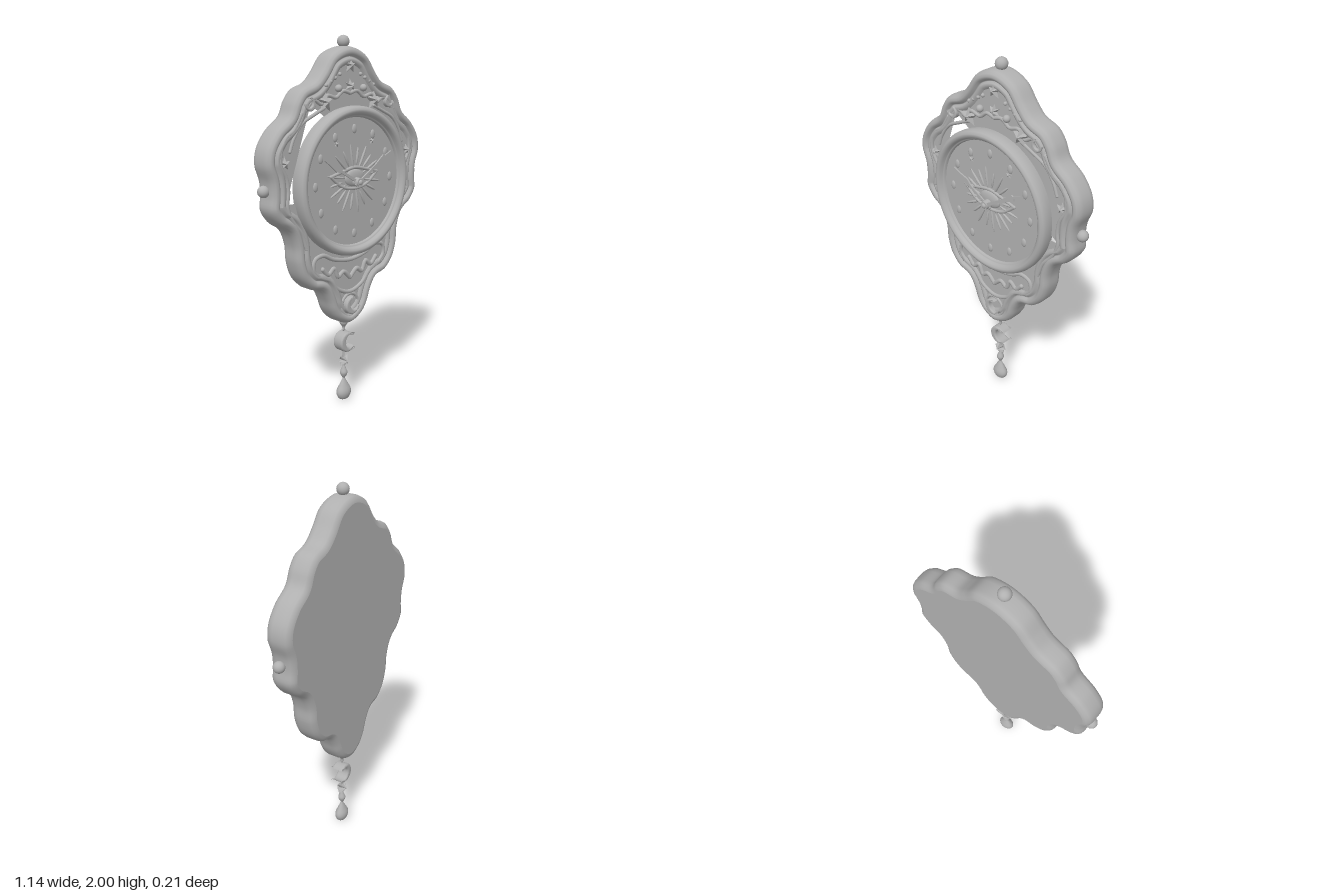
import * as THREE from 'three';

export function createModel() {
  const root = new THREE.Group();
  const mat = new THREE.MeshStandardMaterial({ color: 0xb0b0b0 });
  mat.name = 'plaster grey';
  const PANEL = 0.012, FACE = 0.045, CY = 1.255, MID = -0.035;

  const add = (name, geo, x = 0, y = 0, z = 0) => {
    const m = new THREE.Mesh(geo, mat);
    m.name = name;
    m.position.set(x, y, z);
    root.add(m);
    return m;
  };
  const dome = (name, x, y, z, rx, ry = rx, rz = rx) =>
    add(name, new THREE.SphereGeometry(1, 24, 16).scale(rx, ry, rz), x, y, z);
  // Raised moulding along a path, with rounded ends
  const moulding = (name, pts, r, z, closed = false) => {
    const path = new THREE.CatmullRomCurve3(pts.map(([x, y]) => new THREE.Vector3(x, y, z)), closed);
    add(name, new THREE.TubeGeometry(path, pts.length * 8, r, 10, closed));
    if (!closed) for (const p of [pts[0], pts.at(-1)]) dome(name + 'End', p[0], p[1], z, r);
  };
  const flip = (pts) => pts.map(([x, y]) => [-x, y]);
  // Low pyramid star
  const starGeo = (r, n, h) => {
    const g = new THREE.ConeGeometry(r, h, n * 2, 1, true).rotateX(Math.PI / 2);
    const p = g.attributes.position;
    for (let i = 0; i < p.count; i++) {
      const k = Math.round(Math.atan2(p.getX(i), p.getY(i)) / (Math.PI / n));
      if (Math.abs(k) % 2) p.setXY(i, p.getX(i) * 0.42, p.getY(i) * 0.42);
    }
    const flat = g.toNonIndexed();
    flat.computeVertexNormals();
    return flat;
  };
  // Crescent with its mouth towards +x
  const crescentGeo = (r, depth, bevel) => {
    const s = new THREE.Shape(), a = 0.65, cx = r * 0.38;
    const tx = r * Math.cos(a), ty = r * Math.sin(a);
    const ri = Math.hypot(tx - cx, ty), ai = Math.atan2(ty, tx - cx);
    s.absarc(0, 0, r, a, Math.PI * 2 - a, false);
    s.absarc(cx, 0, ri, -ai, ai, true);
    return new THREE.ExtrudeGeometry(s, { depth, bevelEnabled: bevel > 0, bevelSize: bevel,
      bevelThickness: bevel, bevelOffset: -bevel, bevelSegments: 3, curveSegments: 32 }).translate(0, 0, -depth / 2);
  };

  // Scalloped case outline, bottom to top, mirrored
  const half = [[0.09, 0.505], [0.135, 0.565], [0.16, 0.63], [0.2, 0.69], [0.275, 0.715], [0.34, 0.78],
    [0.372, 0.87], [0.38, 0.96], [0.415, 1.04], [0.485, 1.09], [0.53, 1.16], [0.525, 1.23], [0.53, 1.3],
    [0.556, 1.38], [0.545, 1.46], [0.487, 1.545], [0.405, 1.61], [0.372, 1.68], [0.325, 1.735],
    [0.24, 1.77], [0.19, 1.82], [0.12, 1.905]];
  const outline = new THREE.CatmullRomCurve3([[0, 0.466], ...half, [0, 1.945], ...flip(half).reverse()]
    .map(([x, y]) => new THREE.Vector3(x, y, 0)), true);
  const N = 240;
  const inset = (d) => Array.from({ length: N }, (_, j) => {
    const p = outline.getPointAt(j / N), t = outline.getTangentAt(j / N);
    return new THREE.Vector2(p.x - t.y * d, p.y + t.x * d);
  });

  // Case wall and rolled rim: [inset, z] from back to front
  const section = [[0.035, -0.105], [0.018, -0.1], [0.005, -0.086], [0, -0.066], [0, -0.012], [0.005, 0.01],
    [0.016, 0.025], [0.03, 0.03], [0.042, 0.025], [0.05, 0.012], [0.055, 0.01], [0.062, 0.021],
    [0.072, 0.024], [0.082, 0.019], [0.09, PANEL]];
  const pos = [], idx = [];
  section.forEach(([d, z], i) => {
    inset(d).forEach((p, j) => {
      pos.push(p.x, p.y, z);
      if (i === section.length - 1) return;
      const a = i * N + j, b = i * N + (j + 1) % N;
      idx.push(a, b, b + N, a, b + N, a + N);
    });
  });
  const wall = new THREE.BufferGeometry();
  wall.setAttribute('position', new THREE.Float32BufferAttribute(pos, 3));
  wall.setIndex(idx);
  wall.computeVertexNormals();
  add('caseRim', wall);
  add('frontPanel', new THREE.ShapeGeometry(new THREE.Shape(inset(0.09))), 0, 0, PANEL);
  add('backPanel', new THREE.ShapeGeometry(new THREE.Shape(inset(0.035))).rotateY(Math.PI), 0, 0, -0.105);

  // Bezel and dial
  const ring = [[0.386, 0], [0.392, 0.03], [0.392, 0.058], [0.386, 0.074], [0.374, 0.083], [0.362, 0.083],
    [0.351, 0.074], [0.347, 0.06], [0.342, 0.058], [0.337, 0.055], [0.334, FACE]];
  add('bezel', new THREE.LatheGeometry(ring.map((p) => new THREE.Vector2(...p)), 96).rotateX(Math.PI / 2), 0, CY);
  add('dial', new THREE.CircleGeometry(0.336, 96), 0, CY, FACE);
  for (let i = 0; i < 12; i++) {
    const a = i * Math.PI / 6;
    dome('hourMark', 0.275 * Math.sin(a), CY + 0.275 * Math.cos(a), FACE, 0.016, 0.024, 0.008);
  }
  for (const s of [-1, 1]) add('dialStar', starGeo(0.02, 5, 0.012), s * 0.13, 1.46, FACE + 0.005);

  // Eye relief with rays
  const eye = (h) => [[-0.17, 1.295], [-0.09, 1.275 + h * 0.7], [0, 1.275 + h], [0.09, 1.275 + h * 0.7], [0.17, 1.295]];
  moulding('upperLid', eye(0.055), 0.009, FACE);
  moulding('lowerLid', eye(-0.055), 0.009, FACE);
  dome('eyeball', 0, 1.275, FACE, 0.07, 0.045, 0.015);
  for (let i = 0; i < 20; i++) {
    const a = i * Math.PI / 10 + Math.PI / 20;
    const len = i % 2 ? 0.1 : 0.07, r = 0.12;
    const ray = dome('ray', r * Math.cos(a) * 1.1, 1.27 + r * Math.sin(a), FACE, len * 0.65, 0.007, 0.008);
    ray.rotation.z = a;
  }

  // Hands and hub
  const hand = (name, x, y, bulge, z) => {
    const dx = x, dy = y - CY, L = Math.hypot(dx, dy);
    const s = new THREE.Shape([[-0.03, -0.007], [L * 0.5, -0.007], [L * bulge, -0.017], [L * 0.82, -0.006], [L, 0],
      [L * 0.82, 0.006], [L * bulge, 0.017], [L * 0.5, 0.007], [-0.03, 0.007]].map((p) => new THREE.Vector2(...p)));
    add(name, new THREE.ExtrudeGeometry(s, { depth: 0.008, bevelEnabled: false }), 0, CY, z).rotation.z = Math.atan2(dy, dx);
  };
  hand('hourHand', -0.235, 1.385, 0.62, 0.068);
  hand('minuteHand', 0.24, 1.4, 0.8, 0.078);
  add('hub', new THREE.CylinderGeometry(0.022, 0.026, 0.048, 24).rotateX(Math.PI / 2), 0, CY, 0.068);
  dome('hubCap', 0, CY, 0.091, 0.014, 0.014, 0.01);

  // Mirrored panel ornament
  const side = [[0.33, 1.62], [0.385, 1.54], [0.43, 1.51], [0.465, 1.45], [0.47, 1.38], [0.435, 1.31],
    [0.425, 1.25], [0.43, 1.17], [0.395, 1.09], [0.34, 1.02], [0.31, 0.94]];
  const scroll = [[0.41, 1.44], [0.385, 1.5], [0.33, 1.57], [0.25, 1.61], [0.18, 1.64]];
  const crest = [[0.31, 1.63], [0.25, 1.68], [0.2, 1.66], [0.16, 1.7], [0.1, 1.69], [0.05, 1.72], [0, 1.71]];
  const cloud = [[0.2, 0.81], [0.16, 0.775], [0.12, 0.8], [0.09, 0.75], [0.05, 0.77], [0, 0.73]];
  for (const s of [1, -1]) {
    const m = (pts) => (s > 0 ? pts : flip(pts));
    moulding('sideMoulding', m(side), 0.011, PANEL);
    moulding('scroll', m(scroll), 0.009, PANEL);
    moulding('crestSwirl', m(crest), 0.01, PANEL);
    moulding('cloud', m(cloud), 0.013, PANEL);
    add('sideStar', starGeo(0.04, 5, 0.025), s * 0.445, 1.385, PANEL + 0.01);
    add('crestStar', starGeo(0.065, 5, 0.035), s * 0.175, 1.67, PANEL + 0.014);
    add('crestMoon', crescentGeo(0.032, 0.02, 0.006), s * 0.285, 1.66, PANEL + 0.005).rotation.z = s > 0 ? 0.8 : 2.3;
    dome('bead', s * 0.09, 1.735, PANEL + 0.01, 0.019);
    for (let i = 0; i < 4; i++) dome('smallBead', s * (0.075 + i * 0.032), 1.805 - i * 0.018, PANEL + 0.004, 0.01);
    dome('sideKnob', s * 0.54, CY, MID, 0.03);
  }
  add('topStar', starGeo(0.055, 5, 0.03), 0, 1.85, PANEL + 0.01);
  add('middleStar', starGeo(0.045, 6, 0.03), 0, 1.745, PANEL + 0.01);

  // Lower cartouche and moon medallion
  const cart = [[0.12, 0.85], [0.2, 0.885], [0.255, 0.87], [0.265, 0.82], [0.225, 0.775], [0.15, 0.74], [0.09, 0.68]];
  moulding('cartouche', [[0, 0.83], ...cart, [0, 0.65], ...flip(cart).reverse()], 0.012, PANEL, true);
  add('medallionRing', new THREE.TorusGeometry(0.062, 0.009, 10, 48), 0, 0.575, PANEL);
  add('medallionMoon', crescentGeo(0.05, 0.036, 0.008), 0, 0.575, PANEL + 0.004).rotation.z = 0.5;

  // Top finial
  dome('topKnob', 0, 1.968, MID, 0.032);

  // Hanging pendant
  const turned = (name, pts) => add(name, new THREE.LatheGeometry(new THREE.SplineCurve(
    pts.map((p) => new THREE.Vector2(...p))).getPoints(40), 32), 0, 0, MID);
  turned('pendantCap', [[0, 0.405], [0.007, 0.415], [0.009, 0.435], [0.022, 0.455], [0.026, 0.475]]);
  add('pendantMoon', crescentGeo(0.057, 0.05, 0.01), 0.008, 0.348, MID).rotation.z = 0.05;
  add('link', new THREE.CylinderGeometry(0.006, 0.006, 0.09, 12), 0, 0.25, MID);
  for (const turn of [0, Math.PI]) add('pendantStar', starGeo(0.042, 8, 0.032), 0, 0.235, MID + (turn ? -0.016 : 0.016)).rotation.y = turn;
  turned('pendantBead', [[0, 0.215], [0.006, 0.205], [0.012, 0.19], [0.021, 0.165], [0.015, 0.145], [0.006, 0.13], [0.006, 0.115]]);
  const drop = turned('pendantDrop', [[0.004, 0.14], [0.012, 0.12], [0.03, 0.09], [0.046, 0.06], [0.046, 0.035], [0.03, 0.01], [0, 0]]);
  drop.scale.z = 0.7;
  // Turned profiles above run downwards or upwards: keep every wall facing out
  for (const m of root.children.filter((c) => ['pendantBead', 'pendantDrop'].includes(c.name))) {
    const ix = m.geometry.index.array;
    for (let i = 0; i < ix.length; i += 3) [ix[i], ix[i + 1]] = [ix[i + 1], ix[i]];
    m.geometry.computeVertexNormals();
  }
  return root;
}
